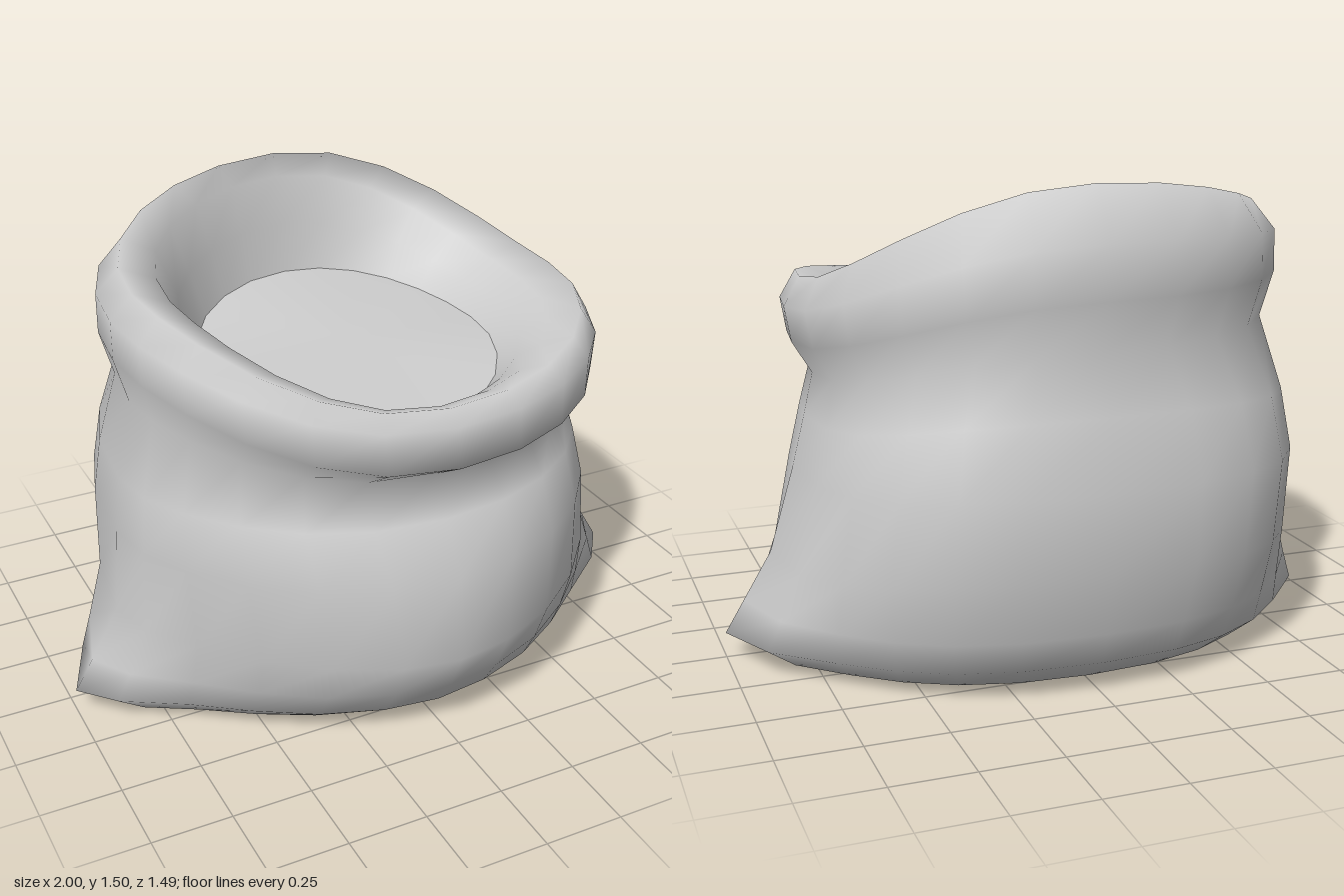
import * as THREE from 'three';

const SEG = 24;

// Each ring: heights and reaches at [front, left, back, right],
// corner ear size, and roundness of the front and back halves.
const BODY = [
  { y: [0.01, 0.01, 0.02, 0.01], r: [0.52, 0.74, 0.56, 0.74], ear: 0.15, p: [1.8, 2.2] },
  { y: [0.08, 0.08, 0.10, 0.08], r: [0.62, 0.79, 0.66, 0.79], ear: 0.21, p: [1.8, 2.3] },
  { y: [0.18, 0.18, 0.20, 0.18], r: [0.69, 0.79, 0.69, 0.79], ear: 0.15, p: [1.8, 2.4] },
  { y: [0.31, 0.33, 0.40, 0.34], r: [0.75, 0.80, 0.74, 0.80], ear: 0.05, p: [1.8, 2.5] },
  { y: [0.58, 0.60, 0.64, 0.62], r: [0.73, 0.77, 0.74, 0.83], p: [1.95, 2.5] },
  { y: [0.74, 0.76, 0.85, 0.80], r: [0.64, 0.73, 0.69, 0.81], p: [2.1, 2.4] },
];

// Pinched neck, rolled rim and inner wall
const RIM = [
  { y: [0.85, 0.89, 1.03, 1.04], r: [0.56, 0.70, 0.64, 0.76] },
  { y: [0.94, 0.99, 1.18, 1.18], r: [0.71, 0.76, 0.68, 0.80] },
  { y: [1.06, 1.10, 1.34, 1.30], r: [0.69, 0.78, 0.67, 0.80] },
  { y: [1.10, 1.19, 1.50, 1.37], r: [0.64, 0.73, 0.58, 0.73] },
  { y: [1.08, 1.16, 1.43, 1.32], r: [0.58, 0.61, 0.55, 0.61] },
  { y: [1.05, 1.11, 1.27, 1.17], r: [0.54, 0.51, 0.525, 0.54] },
];

// Edge of the filling, where the inner wall ends
const FILL = { y: [0.99, 1.05, 1.11, 1.02], r: [0.50, 0.44, 0.50, 0.48] };

function ringPoints({ y, r, ear = 0, p = [2.1, 2.1] }) {
  const points = [];
  for (let j = 0; j < SEG; j++) {
    const t = (j / SEG) * Math.PI * 2;
    const s = Math.sin(t), c = Math.cos(t);
    const front = c >= 0 ? 0 : 2, side = s >= 0 ? 1 : 3;
    const power = 2 / (front === 0 ? p[0] : p[1]);
    const tip = Math.abs(s) ** 12;
    points.push(
      Math.sign(s) * (Math.abs(s) ** power * r[side] + ear * tip),
      y[front] * c * c + y[side] * s * s,
      Math.sign(c) * Math.abs(c) ** power * r[front] + (s < 0 ? 0.1 * r[3] * tip : 0),
    );
  }
  return points;
}

function makeMesh(name, positions, index) {
  const geometry = new THREE.BufferGeometry();
  geometry.setAttribute('position', new THREE.Float32BufferAttribute(positions, 3));
  geometry.setIndex(index);
  geometry.computeVertexNormals();
  const mesh = new THREE.Mesh(geometry,
    new THREE.MeshStandardMaterial({ color: 0xcccccc, side: THREE.DoubleSide }));
  mesh.name = name;
  return mesh;
}

// Cloth skin lofted through consecutive rings
function loft(name, rings) {
  const index = [];
  for (let i = 0; i < rings.length - 1; i++) {
    for (let j = 0; j < SEG; j++) {
      const k = (j + 1) % SEG;
      const a = i * SEG + j, b = i * SEG + k;
      index.push(a, b, b + SEG, a, b + SEG, a + SEG);
    }
  }
  return makeMesh(name, rings.flatMap(ringPoints), index);
}

// Upward fan closing a ring
function fan(name, ring, centre) {
  const index = [];
  for (let j = 0; j < SEG; j++) index.push(SEG, j, (j + 1) % SEG);
  return makeMesh(name, [...ringPoints(ring), ...centre], index);
}

export function createModel() {
  const group = new THREE.Group();
  group.name = 'openSack';
  // Underside, body and rim in one continuous cloth
  const underside = { y: [0, 0, 0, 0], r: [0, 0, 0, 0] };
  group.add(loft('sackCloth', [underside, ...BODY, ...RIM, FILL]));
  // Sloping filling seen through the mouth
  group.add(fan('sackContents', FILL, [0, 1.06, 0]));
  return group;
}
